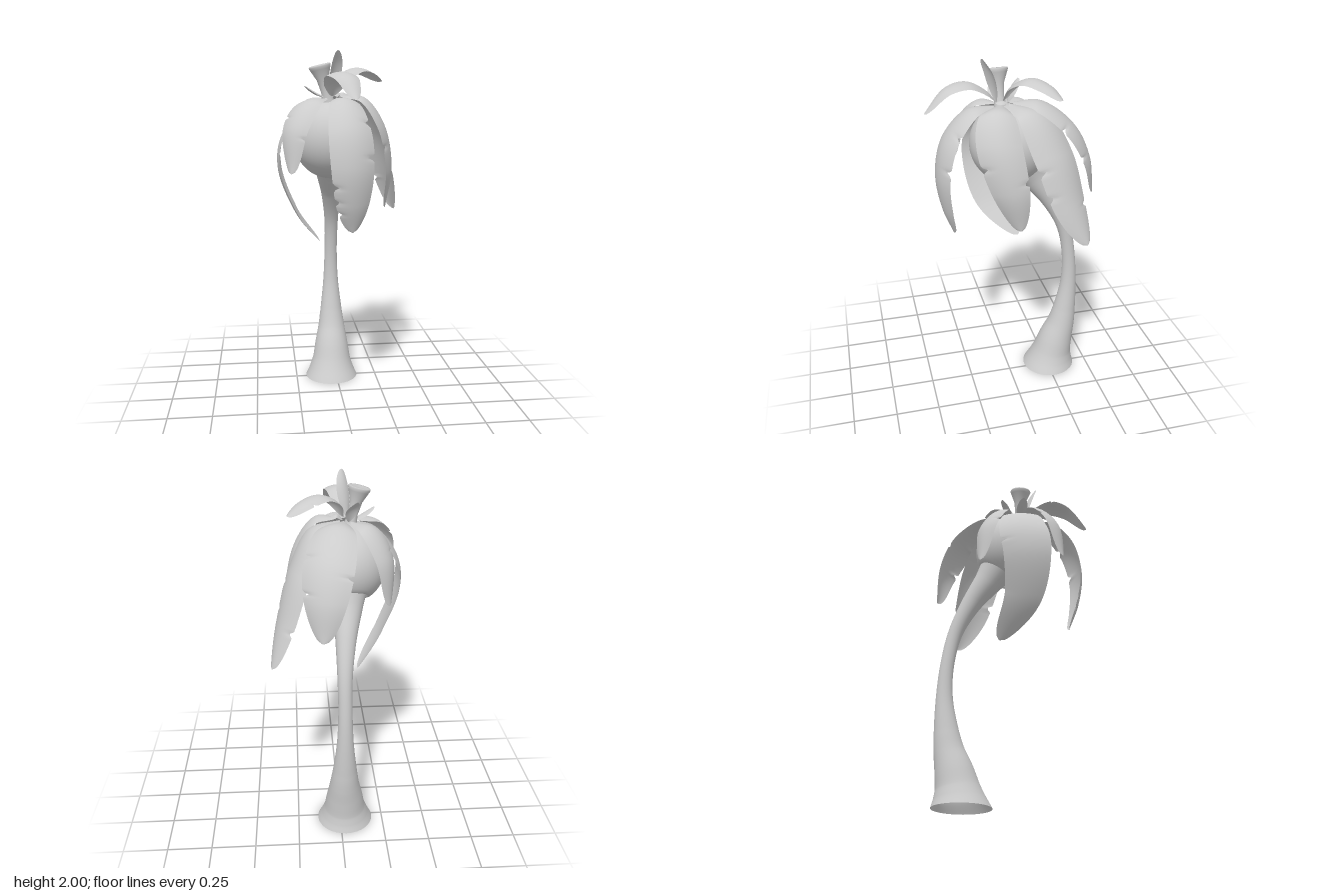
import * as THREE from 'three';
import { ParametricGeometry } from 'three/addons/geometries/ParametricGeometry.js';

const material = new THREE.MeshStandardMaterial({ color: 0xcccccc, side: THREE.DoubleSide });
const UP = new THREE.Vector3(0, 1, 0);
const curveOf = (pts) => new THREE.CatmullRomCurve3(pts.map((p) => new THREE.Vector3(...p)), false, 'centripetal');

function add(group, name, geometry) {
  const mesh = new THREE.Mesh(geometry, material);
  mesh.name = name;
  group.add(mesh);
  return mesh;
}

// Round limb swept through [x, y, z, radius] stations; rings start out level
function limb(stations, stacks = 60) {
  const path = curveOf(stations);
  const radii = curveOf(stations.map((s, i) => [s[3], i, 0]));
  const right = new THREE.Vector3(1, 0, 0);
  return new ParametricGeometry((u, v, target) => {
    const tangent = path.getTangent(v);
    tangent.lerp(UP, Math.max(0, 1 - v * 4)).normalize();
    const side = right.clone().addScaledVector(tangent, -right.dot(tangent)).normalize();
    const front = new THREE.Vector3().crossVectors(side, tangent);
    const r = radii.getPoint(v).x;
    const a = u * Math.PI * 2;
    target.copy(path.getPoint(v))
      .addScaledVector(side, Math.cos(a) * r)
      .addScaledVector(front, Math.sin(a) * r);
  }, 32, stacks);
}

// Arched blade along a path, facing a heading [x, z], with slits torn into its edges
function leaf({ path: pts, width, heading, arch = 0.3, slits = [] }) {
  const path = curveOf(pts);
  const out = heading
    ? new THREE.Vector3(heading[0], 0, heading[1]).normalize()
    : path.getPoint(0.5).sub(path.getPoint(0)).setY(0).normalize();
  const side = new THREE.Vector3().crossVectors(out, UP).normalize();
  const geometry = new ParametricGeometry((u, v, target) => {
    const s = u * 2 - 1;
    const tangent = path.getTangent(v);
    const across = side.clone().addScaledVector(tangent, -side.dot(tangent)).normalize();
    const normal = new THREE.Vector3().crossVectors(across, tangent);
    // Tapered base, rounder tip
    const swell = Math.max(0, Math.sin(Math.PI * v));
    let half = 0.003 + (width / 2) * Math.pow(swell, v < 0.5 ? 0.75 : 0.52);
    for (const [at, edge] of slits) {
      if (s * edge > 0) half *= 1 - 0.28 * Math.max(0, 1 - Math.abs(v - at) / 0.018) * Math.abs(s);
    }
    target.copy(path.getPoint(v))
      .addScaledVector(across, s * half)
      .addScaledVector(normal, -arch * half * s * s);
  }, 10, 80);
  geometry.computeVertexNormals();
  return geometry;
}

export function createModel() {
  const model = new THREE.Group();
  model.name = 'palmTree';

  // Leaning trunk: flared foot, slim waist, widening into the crown
  add(model, 'trunk', limb([
    [-0.028, 0, -0.265, 0.161], [-0.027, 0.05, -0.277, 0.138], [-0.025, 0.11, -0.29, 0.118],
    [-0.023, 0.2, -0.312, 0.103], [-0.02, 0.3, -0.34, 0.084], [-0.02, 0.4, -0.358, 0.069],
    [-0.02, 0.6, -0.378, 0.047], [-0.02, 0.8, -0.37, 0.039], [-0.02, 1, -0.33, 0.042],
    [-0.03, 1.18, -0.245, 0.058], [-0.045, 1.32, -0.15, 0.082], [-0.05, 1.42, -0.085, 0.112],
  ]));

  // Round heart of the crown, opening with a rolled lip where the trunk enters
  const bulbProfile = [];
  for (let i = 0; i <= 28; i++) {
    const a = (i / 28) * 2.52;
    bulbProfile.push(new THREE.Vector2(Math.sin(a) * 0.215, Math.cos(a) * 0.222));
  }
  bulbProfile.push(new THREE.Vector2(0.113, -0.184), new THREE.Vector2(0.102, -0.175), new THREE.Vector2(0.095, -0.15));
  const bulb = add(model, 'crownBulb', new THREE.LatheGeometry(bulbProfile.reverse(), 40));
  bulb.position.set(-0.05, 1.52, -0.005);
  bulb.rotation.x = 0.55;

  // Stalk on top, flaring to a rounded, slightly dished end
  const profile = [[0.035, 0], [0.026, 0.06], [0.034, 0.13], [0.056, 0.185], [0.062, 0.2],
    [0.058, 0.208], [0.048, 0.206], [0, 0.202]].map((p) => new THREE.Vector2(...p));
  const stalk = add(model, 'topStalk', new THREE.LatheGeometry(profile, 32));
  stalk.position.set(-0.07, 1.725, 0.035);
  stalk.rotation.set(0.04, 0, 0.24);

  const leaves = {
    // Hanging fronds around the crown
    leftFrond: {
      path: [[-0.06, 1.75, 0.03], [-0.21, 1.7, 0.035], [-0.335, 1.54, 0.045], [-0.355, 1.37, 0.07],
        [-0.26, 1.12, 0.05], [-0.11, 0.915, -0.08]],
      width: 0.27, heading: [-1, -0.05], arch: 0.12, slits: [[0.5, 1]],
    },
    frontLeftFrond: {
      path: [[-0.08, 1.75, 0.06], [-0.19, 1.735, 0.15], [-0.275, 1.6, 0.24], [-0.29, 1.36, 0.275]],
      width: 0.17, heading: [-0.75, 1], slits: [[0.55, 1], [0.75, -1]],
    },
    frontFrond: {
      path: [[-0.03, 1.75, 0.08], [0, 1.745, 0.22], [0.02, 1.6, 0.36], [0.03, 1.4, 0.41],
        [0.03, 1.2, 0.385], [0.03, 1.05, 0.33]],
      width: 0.235, slits: [[0.35, -1], [0.55, -1], [0.7, 1], [0.78, 1], [0.86, 1]],
    },
    rightFrond: {
      path: [[0, 1.76, 0.05], [0.12, 1.755, 0.095], [0.23, 1.61, 0.11], [0.285, 1.36, 0.06], [0.26, 1.13, 0]],
      width: 0.23, heading: [1, 0.2], slits: [[0.6, 1], [0.72, -1]],
    },
    backRightFrond: {
      path: [[-0.01, 1.76, 0], [0.13, 1.74, -0.1], [0.245, 1.54, -0.2], [0.32, 1.28, -0.27], [0.37, 1.06, -0.345]],
      width: 0.255, heading: [1, -0.45], slits: [[0.55, 1], [0.68, 1], [0.78, -1]],
    },
    backFrond: {
      path: [[-0.03, 1.76, -0.02], [0.02, 1.77, -0.16], [0.07, 1.64, -0.34], [0.095, 1.46, -0.43], [0.1, 1.25, -0.455]],
      width: 0.265, slits: [[0.45, 1], [0.58, -1], [0.7, 1]],
    },
    backLeftFrond: {
      path: [[-0.07, 1.75, 0], [-0.17, 1.74, -0.09], [-0.255, 1.59, -0.165], [-0.27, 1.34, -0.19]],
      width: 0.16, slits: [[0.6, -1]],
    },
    // Young leaves standing above the fronds
    youngFrontLeaf: {
      path: [[-0.05, 1.76, 0.06], [-0.045, 1.83, 0.12], [-0.03, 1.885, 0.22], [0, 1.865, 0.34], [0.03, 1.75, 0.46]],
      width: 0.145, slits: [[0.5, 1]],
    },
    youngBackRightLeaf: {
      path: [[-0.03, 1.77, 0.03], [0.01, 1.86, -0.01], [0.09, 1.915, -0.08], [0.18, 1.895, -0.15], [0.265, 1.84, -0.205]],
      width: 0.135, slits: [[0.7, -1]],
    },
    uprightLeaf: {
      path: [[-0.055, 1.76, 0.06], [-0.045, 1.85, 0.075], [-0.035, 1.93, 0.1], [-0.03, 2, 0.14]],
      width: 0.07,
    },
    // Small sepals around the stalk
    leftSepal: { path: [[-0.08, 1.75, 0.04], [-0.14, 1.78, 0.05], [-0.2, 1.815, 0.06]], width: 0.06 },
    rightSepal: { path: [[-0.03, 1.75, 0.04], [0, 1.78, 0.045], [0.035, 1.77, 0.05]], width: 0.06 },
    backSepal: { path: [[-0.06, 1.75, 0], [-0.07, 1.82, -0.03], [-0.1, 1.87, -0.07]], width: 0.06 },
  };
  for (const [name, spec] of Object.entries(leaves)) add(model, name, leaf(spec));

  return model;
}
